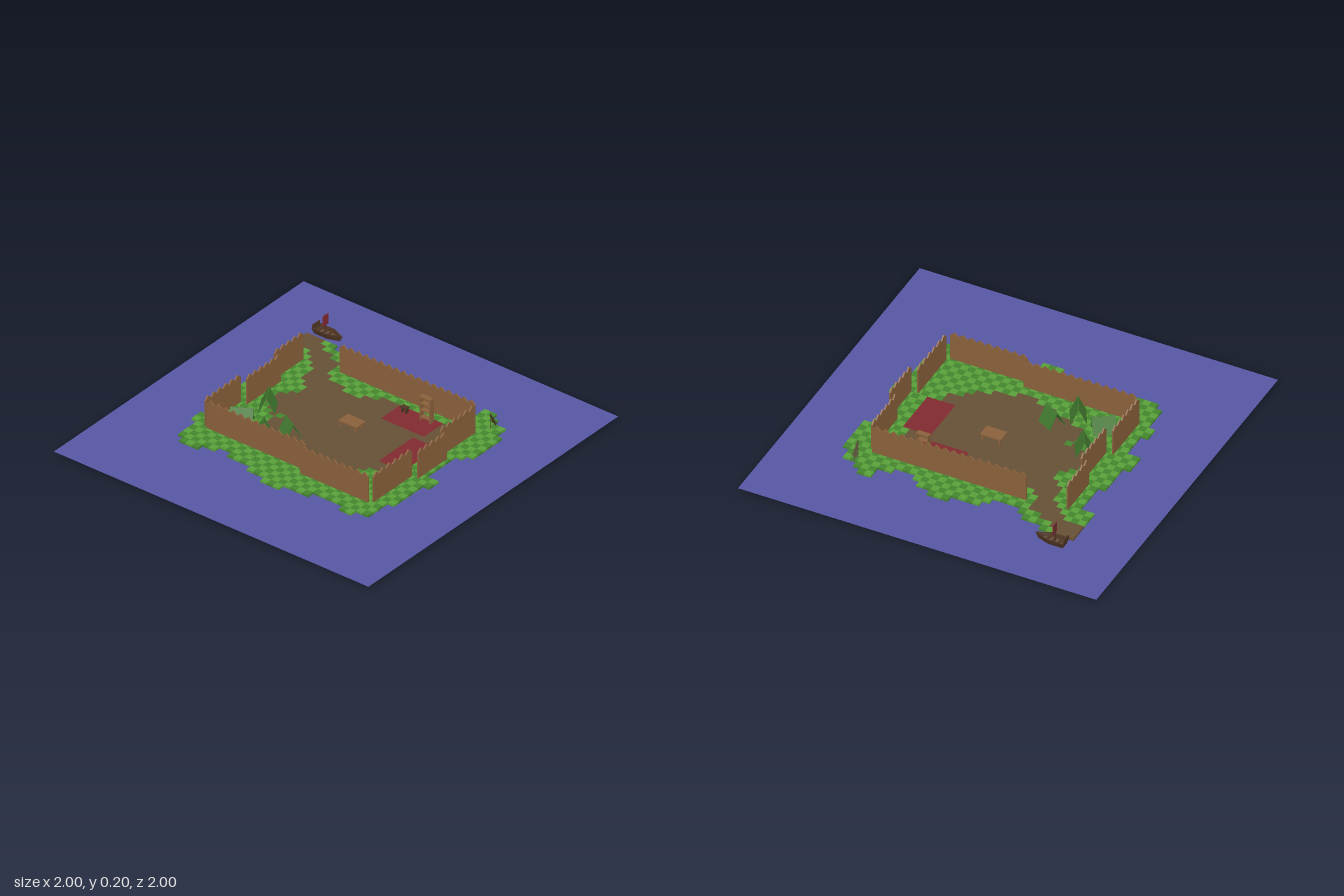
import * as THREE from 'three';
import { mergeGeometries } from 'three/addons/utils/BufferGeometryUtils.js';

const material = (name, color, side = THREE.FrontSide) => {
  const m = new THREE.MeshStandardMaterial({ color, side });
  m.name = name;
  return m;
};

// Island grid: 35 x 31 square tiles
const TILE = 0.039, X0 = -0.6825, Z0 = -0.627, SOIL = 0.016, GROUND = 0.032;

// Column spans of land in each row, from back to front
const LAND = ['0-5 18-21 29-31', '0-8 14-23 29-32', '0-9 13-24 27-34', '0-34', '0-35', '0-35',
  '2-35', '2-35', '2-35', '2-35', '2-34', '1-33', '1-33', '1-33', '1-33', '1-33', '0-33', '0-35', '0-35',
  '2-34', '2-34', '2-34', '2-34', '1-34', '1-34', '2-33', '2-33', '2-33', '2-8 10-33',
  '3-6 14-24 29-31', '17-20'];

// Column spans of bare earth in each row
const EARTH = ['0-3', '0-4', '0-6', '3-8', '4-8', '5-8', '6-9 17-28', '6-12 15-29', '6-29', '7-29', '8-29',
  '8-30', '7-30', '6-30', '6-30', '6-30', '7-30', '8-9 10-30', '9-28', '9-28', '9-26', '11-25', '14-23', '17-20'];

const inSpans = (rows, i, j) => (rows[j] || '').split(' ').some((s) => {
  const [a, b] = s.split('-').map(Number);
  return i >= a && i < b;
});
const isRed = (i, j) => (i >= 20 && i < 27 && j >= 6 && j < 10) || (i >= 26 && i < 30 && j >= 11 && j < 18);

export function createModel() {
  const water = material('water blue', 0x5757a4, THREE.DoubleSide);
  const lightGrass = material('light grass', 0x58a03a);
  const darkGrass = material('dark grass', 0x45852e);
  const earth = material('earth brown', 0x654f36);
  const red = material('red cloth', 0x802a30, THREE.DoubleSide);
  const wood = material('wood', 0x8a613b);
  const darkWood = material('dark wood', 0x4f3525);
  const canvas = material('tent green', 0x41792f, THREE.DoubleSide);
  const leaf = material('dull green', 0x4a4f26, THREE.DoubleSide);

  const model = new THREE.Group();
  model.name = 'islandFort';
  const add = (name, geometry, mat, x = 0, y = 0, z = 0, parent = model) => {
    const mesh = new THREE.Mesh(geometry, mat);
    mesh.name = name;
    mesh.position.set(x, y, z);
    parent.add(mesh);
    return mesh;
  };
  const group = (name, x, y, z) => {
    const g = new THREE.Group();
    g.name = name;
    g.position.set(x, y, z);
    model.add(g);
    return g;
  };
  const box = (name, w, h, d, mat, x, y, z, parent) =>
    add(name, new THREE.BoxGeometry(w, h, d), mat, x, y, z, parent);

  // Sea sheet
  add('water', new THREE.PlaneGeometry(2, 2).rotateX(-Math.PI / 2), water, 0, 0.02, 0);

  // Island surface: tile tops, underside and outer edges only
  const parts = { lightGrass: [], darkGrass: [], earth: [], red: [] };
  LAND.forEach((_, j) => {
    for (let i = 0; i < 35; i++) {
      if (!inSpans(LAND, i, j)) continue;
      const x = X0 + (i + 0.5) * TILE, z = Z0 + (j + 0.5) * TILE;
      const kind = isRed(i, j) ? 'red' : inSpans(EARTH, i, j) ? 'earth' : (i + j) % 2 ? 'lightGrass' : 'darkGrass';
      const flat = () => new THREE.PlaneGeometry(TILE, TILE);
      parts[kind].push(flat().rotateX(-Math.PI / 2).translate(x, GROUND, z));
      parts.earth.push(flat().rotateX(Math.PI / 2).translate(x, 0, z));
      [[0, 1], [1, 0], [0, -1], [-1, 0]].forEach(([dx, dz], k) => {
        if (inSpans(LAND, i + dx, j + dz)) return;
        const edge = (y0, y1) => new THREE.PlaneGeometry(TILE, y1 - y0).rotateY(k * Math.PI / 2)
          .translate(x + dx * TILE / 2, (y0 + y1) / 2, z + dz * TILE / 2);
        parts[kind].push(edge(SOIL, GROUND));
        parts.earth.push(edge(0, SOIL));
      });
    }
  });
  add('lightGrassTiles', mergeGeometries(parts.lightGrass), lightGrass);
  add('darkGrassTiles', mergeGeometries(parts.darkGrass), darkGrass);
  add('earthGround', mergeGeometries(parts.earth), earth);
  add('redFloors', mergeGeometries(parts.red), red);

  // Palisade panels with pointed tops
  const palisade = (name, x, z, length, alongZ) => {
    const n = Math.round(length / 0.048), step = length / n;
    const s = new THREE.Shape();
    s.moveTo(0, 0);
    s.lineTo(length, 0);
    for (let k = n; k > 0; k--) {
      s.lineTo(k * step, 0.148);
      s.lineTo((k - 0.5) * step, 0.17);
    }
    s.lineTo(0, 0.148);
    const g = new THREE.ExtrudeGeometry(s, { depth: 0.008, bevelEnabled: false }).translate(0, 0, -0.004);
    add(name, g, wood, x, GROUND - 0.002, z).rotation.y = alongZ ? -Math.PI / 2 : 0;
  };
  palisade('backWall', -0.33, -0.447, 0.86);
  palisade('frontWallLeft', 0.097, 0.405, 0.43);
  palisade('frontWallRight', -0.53, 0.367, 0.627);
  palisade('leftWallBack', 0.544, -0.425, 0.275, true);
  palisade('leftWallMiddle', 0.583, -0.15, 0.23, true);
  palisade('leftWallFront', 0.544, 0.08, 0.31, true);
  palisade('rightWallBack', -0.547, -0.425, 0.23, true);
  palisade('rightWallMiddle', -0.508, -0.195, 0.27, true);
  palisade('rightWallFront', -0.547, 0.075, 0.285, true);

  // Open ridge tents: two sloping sheets each
  const tent = (x, z, dx, dz, width, length) => {
    const g = group('tent', x, GROUND, z);
    g.rotation.y = Math.atan2(dx, dz);
    const height = 0.09, slope = Math.hypot(width / 2, height);
    for (const side of [-1, 1]) {
      const sheet = box('tentSheet', 0.004, slope, length, canvas, side * width / 4, height / 2, 0, g);
      sheet.rotation.z = side * Math.atan2(width / 2, height);
    }
  };
  tent(-0.405, 0.035, 12, 20, 0.083, 0.108);
  tent(-0.42, 0.225, 19, -12, 0.075, 0.118);
  tent(-0.257, 0.267, 11, 20, 0.08, 0.11);
  tent(-0.16, 0.168, 16, 9, 0.093, 0.1);

  // Table
  const table = group('table', 0.037, GROUND, -0.083);
  box('tableTop', 0.115, 0.008, 0.075, wood, 0, 0.036, 0, table);
  for (const sx of [-1, 1]) for (const sz of [-1, 1])
    box('tableLeg', 0.01, 0.032, 0.01, wood, sx * 0.047, 0.016, sz * 0.028, table);

  // Shelf rack
  const shelf = group('shelfRack', 0.29, GROUND, -0.36);
  for (const sx of [-1, 1]) box('shelfSide', 0.007, 0.14, 0.028, wood, sx * 0.031, 0.07, 0, shelf);
  for (const y of [0.02, 0.06, 0.1, 0.137]) box('shelfBoard', 0.065, 0.006, 0.028, wood, 0, y, 0, shelf);

  // Small stool beside the rack
  const stool = group('stool', 0.155, GROUND, -0.355);
  box('stoolSeat', 0.04, 0.008, 0.026, darkWood, 0, 0.03, 0, stool);
  for (const sx of [-1, 1]) box('stoolLeg', 0.008, 0.026, 0.02, darkWood, sx * 0.013, 0.013, 0, stool);

  // Flat leaning sapling behind the left wall
  const sapling = group('sapling', 0.583, GROUND, -0.543);
  const tree = new THREE.Shape([[-0.003, 0], [0.003, 0], [0.003, 0.015], [0.02, 0.015], [0.01, 0.04], [0.016, 0.04],
    [0.007, 0.065], [0.011, 0.065], [0, 0.098], [-0.011, 0.065], [-0.007, 0.065], [-0.016, 0.04], [-0.01, 0.04],
    [-0.02, 0.015], [-0.003, 0.015]].map((p) => new THREE.Vector2(...p)));
  add('saplingLeaves', new THREE.ShapeGeometry(tree), leaf, 0, 0, 0, sapling).rotation.x = 0.44;
  box('saplingStem', 0.005, 0.096, 0.003, darkWood, 0, 0.043, 0.02, sapling).rotation.x = 0.44;
  box('saplingStake', 0.004, 0.088, 0.002, darkWood, 0, 0.044, 0.042, sapling);

  // Rowing boat with pointed bow towards +x, hull narrowing downwards
  const boat = group('boat', -0.61, 0.02, -0.68);
  const outline = (inset) => [[-0.06 + inset, -0.033 + inset], [0.035, -0.033 + inset], [0.112 - inset * 3, 0],
    [0.035, 0.033 - inset], [-0.06 + inset, 0.033 - inset]].map((p) => new THREE.Vector2(...p));
  const taper = (g) => {
    const p = g.attributes.position;
    for (let k = 0; k < p.count; k++) {
      const f = 0.72 + 0.28 * Math.min(1, p.getY(k) / 0.032);
      p.setXYZ(k, p.getX(k) * (0.5 + f / 2), p.getY(k), p.getZ(k) * f);
    }
    g.computeVertexNormals();
    return g;
  };
  const hullPart = (shape, depth, y) => taper(new THREE.ExtrudeGeometry(shape, { depth, bevelEnabled: false })
    .rotateX(-Math.PI / 2).translate(0, y, 0));
  const rim = new THREE.Shape(outline(0));
  rim.holes.push(new THREE.Path(outline(0.005)));
  add('hullSides', hullPart(rim, 0.032, 0), darkWood, 0, 0, 0, boat);
  add('hullFloor', hullPart(new THREE.Shape(outline(0.003)), 0.012, 0.001), earth, 0, 0, 0, boat);
  box('sternBoard', 0.006, 0.024, 0.058, darkWood, -0.057, 0.038, 0, boat);
  for (const x of [-0.028, 0.005, 0.035]) box('bench', 0.014, 0.005, 0.056, darkWood, x, 0.025, 0, boat);
  box('mast', 0.005, 0.118, 0.005, darkWood, 0, 0.059, 0, boat);
  box('sail', 0.004, 0.058, 0.042, red, 0.004, 0.09, 0, boat);

  return model;
}
